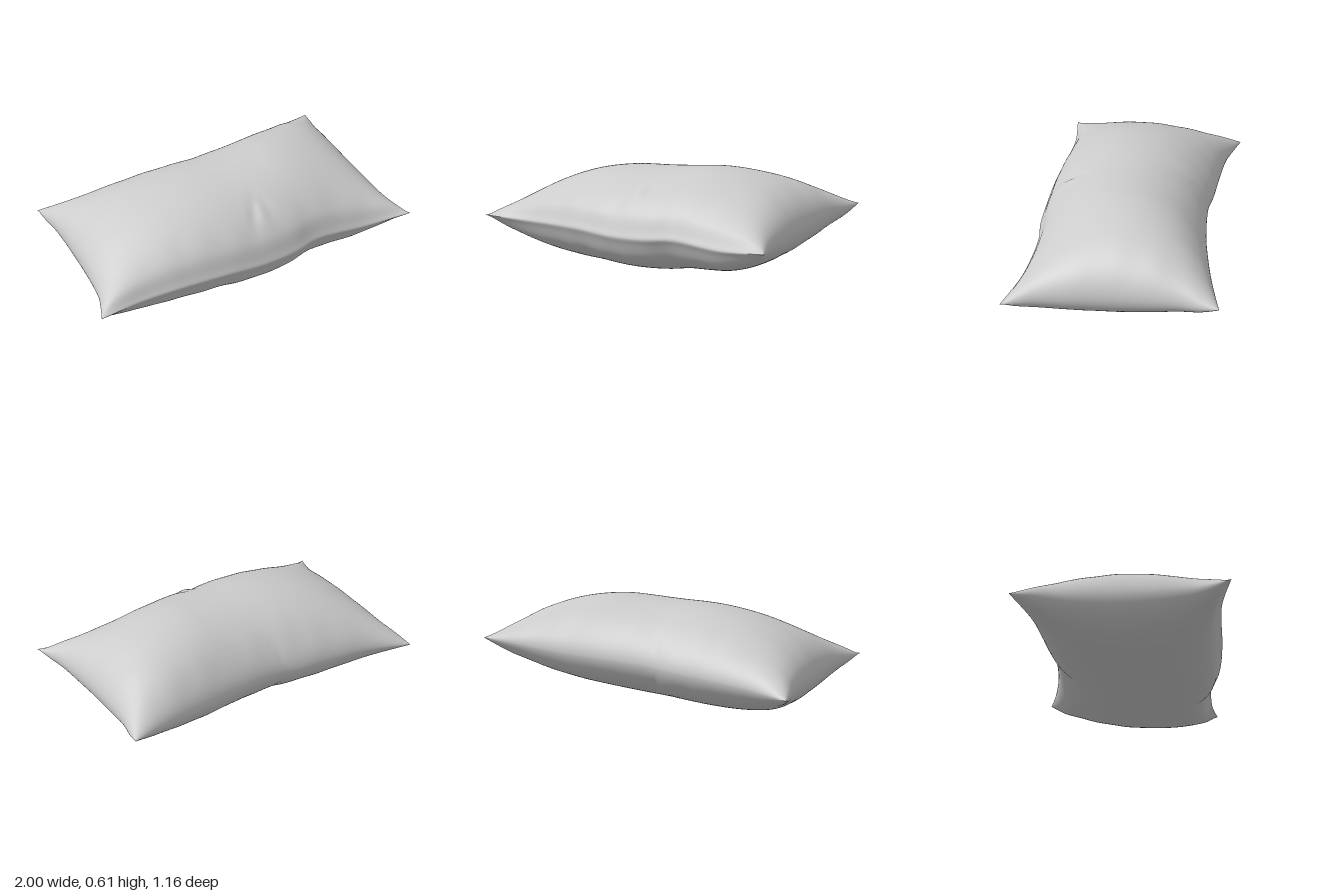
import * as THREE from 'three';

const curve = (pts) => new THREE.CatmullRomCurve3(pts.map((p) => new THREE.Vector3(...p)));

// Seam outline: four edges of the cushion, with slightly blunt corners
const front = curve([[-1, 0.265, 0.57], [-0.75, 0.258, 0.535], [-0.5, 0.263, 0.542], [-0.25, 0.264, 0.557],
  [0, 0.25, 0.56], [0.22, 0.256, 0.547], [0.38, 0.27, 0.517], [0.7, 0.258, 0.53], [1, 0.29, 0.58]]);
const back = curve([[-0.965, 0.23, -0.575], [-0.73, 0.245, -0.503], [-0.48, 0.26, -0.475], [-0.24, 0.275, -0.457],
  [-0.08, 0.285, -0.437], [0.24, 0.3, -0.452], [0.48, 0.315, -0.485], [0.73, 0.345, -0.53], [0.97, 0.38, -0.585]]);
const left = curve([[0.97, 0.38, -0.585], [0.96, 0.365, -0.5], [0.935, 0.352, -0.37], [0.922, 0.33, -0.18], [0.916, 0.31, 0],
  [0.922, 0.295, 0.18], [0.94, 0.283, 0.38], [0.975, 0.283, 0.51], [1, 0.29, 0.58]]);
const right = curve([[-0.965, 0.23, -0.575], [-0.955, 0.232, -0.49], [-0.932, 0.234, -0.36], [-0.922, 0.237, -0.18], [-0.92, 0.24, 0],
  [-0.925, 0.245, 0.18], [-0.943, 0.25, 0.38], [-0.98, 0.258, 0.51], [-1, 0.265, 0.57]]);

// Surface spanned between the four seam edges; s runs along x, t from back to front
function seamSurface(s, t) {
  const p = back.getPointAt(s).multiplyScalar(1 - t);
  p.addScaledVector(front.getPointAt(s), t);
  p.addScaledVector(right.getPointAt(t), 1 - s).addScaledVector(left.getPointAt(t), s);
  const corners = [[back, 0, (1 - s) * (1 - t)], [back, 1, s * (1 - t)], [front, 0, (1 - s) * t], [front, 1, s * t]];
  for (const [c, end, w] of corners) p.addScaledVector(c.getPointAt(end), -w);
  return p;
}

const bump = (d, width) => Math.exp(-((d / width) ** 2));

// Fabric puckers that fade away from the seams, plus a few pressed folds
function wrinkles(x, z, u, v, side) {
  const ripple = (a, k) => Math.sin(a * 17 + k) * Math.sin(a * 7.3 + k * 2) + 0.5 * Math.sin(a * 31 + k * 3);
  const fade = (1 - v * v) * (1 - u * u);
  const alongX = 0.016 * ripple(x, side + Math.sign(v)) * bump(1 - Math.abs(v), 0.25);
  const alongZ = 0.012 * ripple(z, side * 2 + Math.sign(u)) * bump(1 - Math.abs(u), 0.2);
  let h = (alongX + alongZ) * fade;
  // Sharp tuck in the middle of the back edge
  h -= 0.06 * bump(x + 0.1 + (z + 0.4) * -0.4, 0.018) * bump(z + 0.41, 0.06) * (1 - v * v);
  if (side > 0) {
    // Dimples above the front edge
    h -= 0.012 * bump(x - 0.02 - (0.4 - z) * 0.3, 0.03) * bump(z - 0.37, 0.08);
    h -= 0.009 * bump(x - 0.11 + (0.36 - z) * 0.3, 0.022) * bump(z - 0.35, 0.07);
    h += 0.007 * bump(x - 0.065, 0.035) * bump(z - 0.38, 0.08);
  }
  return h;
}

// One puffed fabric panel: side = 1 for the top, -1 for the bottom
function panel(side) {
  const geo = new THREE.PlaneGeometry(2, 2, 120, 90);
  const pos = geo.attributes.position;
  for (let i = 0; i < pos.count; i++) {
    // Ease the grid so that rows crowd toward the seams
    const u = Math.sin((pos.getX(i) * side * Math.PI) / 2);
    const v = Math.sin((-pos.getY(i) * Math.PI) / 2);
    const p = seamSurface((u + 1) / 2, (v + 1) / 2);
    const puffU = Math.sqrt(Math.max(0, 1 - Math.abs(u) ** 3));
    const puffV = Math.max(0, 1 - v * v) ** 0.58;
    // The front seam is pinched into a thin lip
    const lip = 1 - 0.5 * bump(1 - v, 0.06);
    const puff = 0.293 * puffU * puffV * lip;
    // The filling sits higher toward the left side
    const lift = (0.049 + 0.036 * u) * (1 - u ** 4) * (1 - v * v);
    p.y += lift + side * (puff + wrinkles(p.x, p.z, u, v, side));
    pos.setXYZ(i, p.x, p.y, p.z);
  }
  geo.computeVertexNormals();
  return geo;
}

export function createModel() {
  const model = new THREE.Group();
  model.name = 'pillow';
  const fabric = new THREE.MeshStandardMaterial({ color: 0xcccccc, side: THREE.DoubleSide });
  for (const [name, side] of [['topPanel', 1], ['bottomPanel', -1]]) {
    const mesh = new THREE.Mesh(panel(side), fabric);
    mesh.name = name;
    model.add(mesh);
  }
  return model;
}
